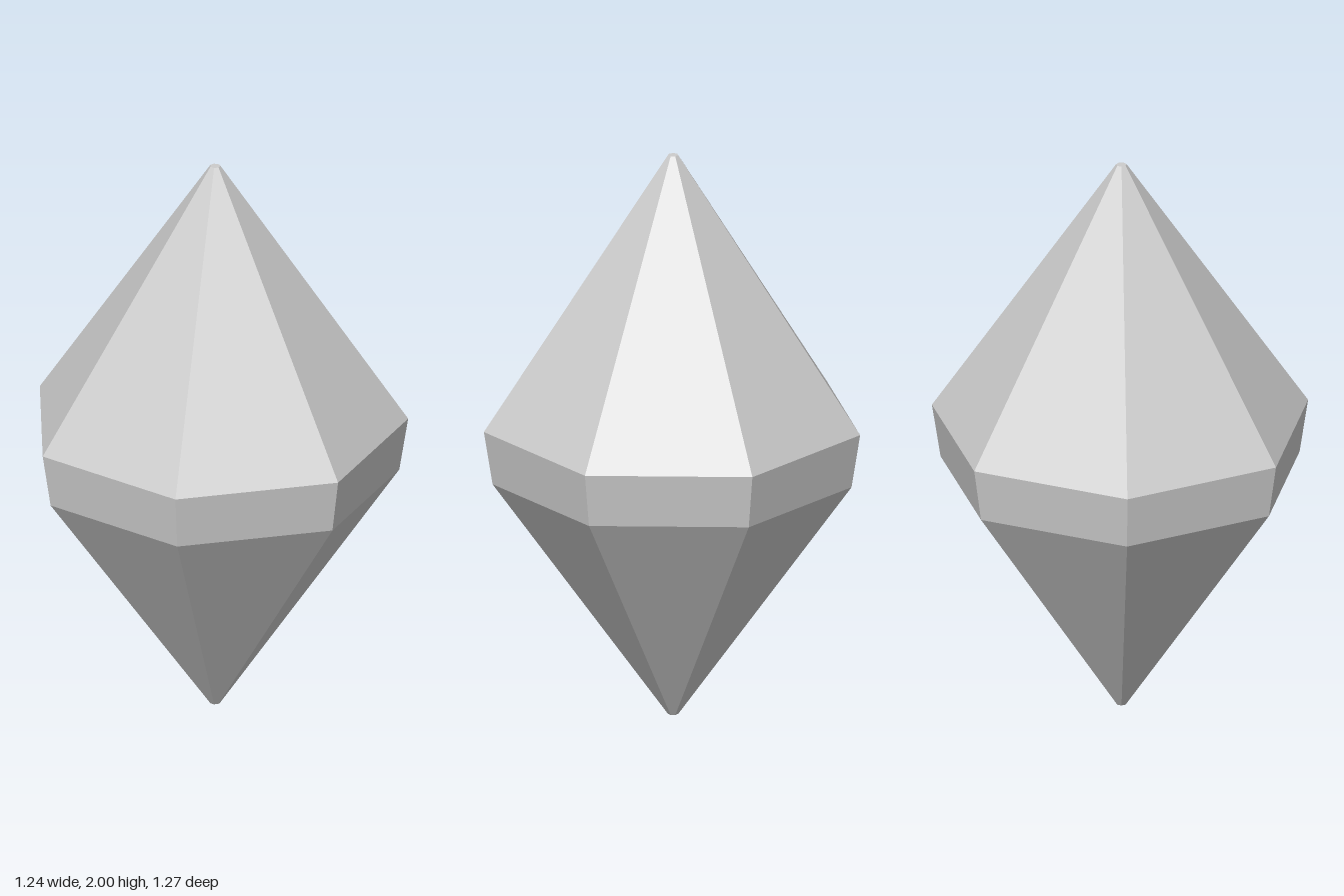
import * as THREE from 'three';

const SIDES = 7;
const AXIS_X = -0.032; // the odd-sided outline is centred by its bounds, so its axis sits off x = 0

// One tapered seven-sided tier with crisp flat facets and a corner on +x
function tier(name, rTop, rBottom, y0, y1, material, open) {
  const indexed = new THREE.CylinderGeometry(rTop, rBottom, y1 - y0, SIDES, 1, open, Math.PI / 2);
  const geometry = indexed.toNonIndexed();
  geometry.computeVertexNormals();
  const mesh = new THREE.Mesh(geometry, material);
  mesh.name = name;
  mesh.position.set(AXIS_X, (y0 + y1) / 2, 0);
  return mesh;
}

// Small flat facet closing a point of the gem
function tip(name, radius, y, up, material) {
  const geometry = new THREE.CircleGeometry(radius, SIDES);
  geometry.rotateX(up ? -Math.PI / 2 : Math.PI / 2);
  const mesh = new THREE.Mesh(geometry, material);
  mesh.name = name;
  mesh.position.set(AXIS_X, y, 0);
  return mesh;
}

export function createModel() {
  const stone = new THREE.MeshStandardMaterial({ color: 0xcccccc });
  stone.name = 'pale grey stone';

  const gem = new THREE.Group();
  gem.name = 'gem';
  gem.add(
    tier('crown', 0.018, 0.653, 1.052, 2, stone, true),
    tier('girdle', 0.653, 0.623, 0.863, 1.052, stone, true),
    tier('pavilion', 0.623, 0.018, 0, 0.863, stone, true),
    tip('topFacet', 0.018, 2, true, stone),
    tip('bottomFacet', 0.018, 0, false, stone)
  );
  return gem;
}
